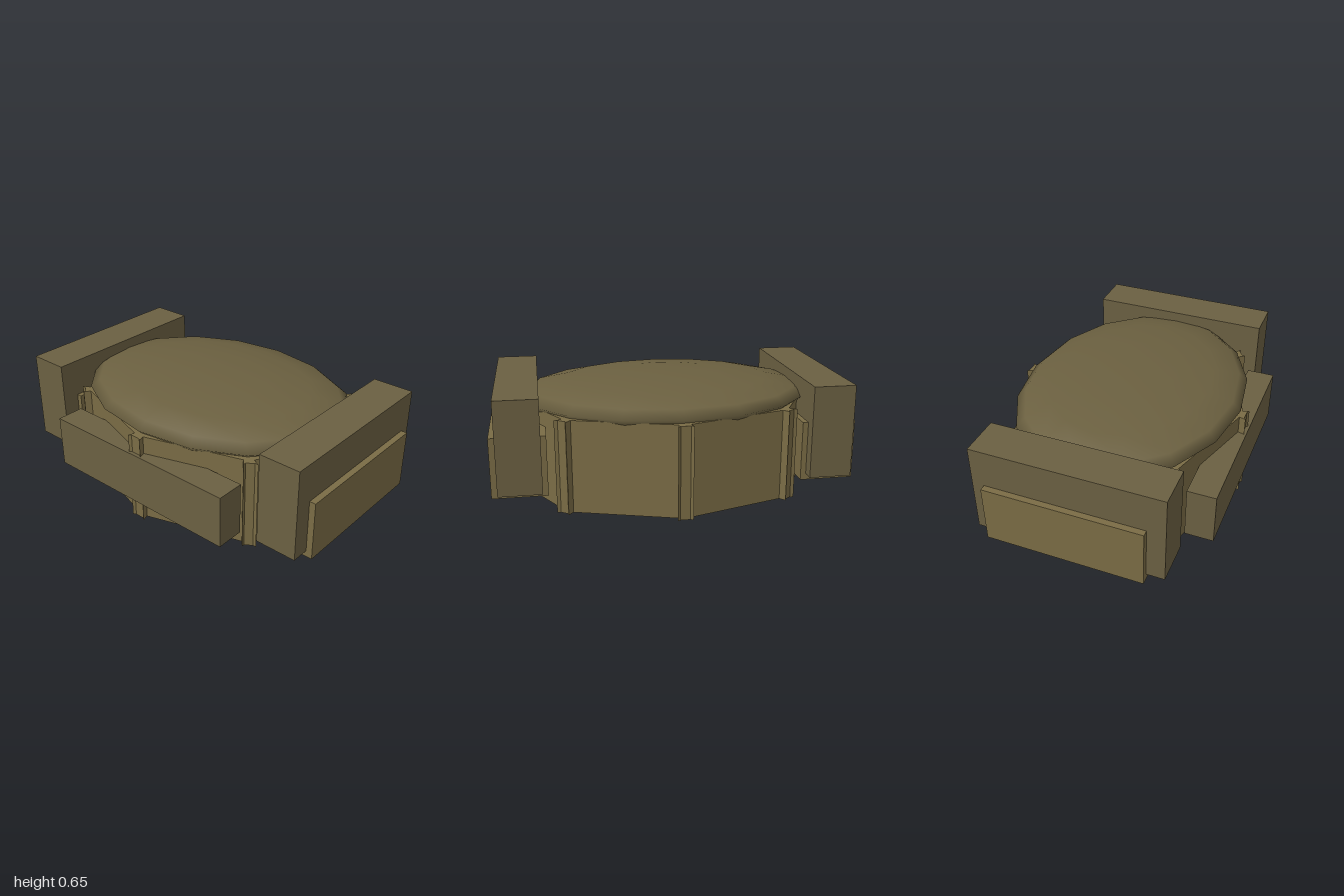
import * as THREE from 'three';

const RX = 0.89, RZ = 0.675, CZ = -0.005;

export function createModel() {
  const group = new THREE.Group();
  const light = new THREE.MeshStandardMaterial({ color: 0x7a6c45, flatShading: true });
  const dark = new THREE.MeshStandardMaterial({ color: 0x6b6042, flatShading: true });
  const smooth = new THREE.MeshStandardMaterial({ color: 0x6b6040 });

  const add = (name, geometry, material) => {
    const mesh = new THREE.Mesh(geometry, material);
    mesh.name = name;
    group.add(mesh);
    return mesh;
  };
  // Box given by its limits on each axis
  const box = (name, [x0, x1], [y0, y1], [z0, z1], material) =>
    add(name, new THREE.BoxGeometry(x1 - x0, y1 - y0, z1 - z0), material)
      .position.set((x0 + x1) / 2, (y0 + y1) / 2, (z0 + z1) / 2);

  // Octagonal ring with a grooved rib on every corner
  const rib = [[-0.035, 0.945], [-0.047, 1], [-0.03, 0.985], [0.03, 0.985], [0.047, 1], [0.035, 0.945]];
  const outline = [], opening = [];
  for (let i = 0; i < 8; i++) {
    const a = i * Math.PI / 4, c = Math.cos(a), s = Math.sin(a);
    for (const [t, r] of rib) {
      outline.push(new THREE.Vector2((r * c - t * s) * RX, (r * s + t * c) * RZ));
    }
    opening.push(new THREE.Vector2(0.67 * c * RX, 0.67 * s * RZ));
  }
  const shape = new THREE.Shape(outline);
  shape.holes.push(new THREE.Path(opening));
  const ring = new THREE.ExtrudeGeometry(shape, { depth: 0.515, bevelEnabled: false });
  ring.rotateX(-Math.PI / 2);
  add('baseRing', ring, light).position.z = CZ;

  // Flattened dome resting in the ring
  const dome = new THREE.SphereGeometry(1, 16, 8);
  dome.scale(0.836, 0.12, 0.635);
  add('dome', dome, smooth).position.set(0, 0.535, CZ);

  // Side blocks, each with a plate through it
  for (const side of [-1, 1]) {
    const label = side > 0 ? 'left' : 'right';
    const span = (a, b) => side > 0 ? [a, b] : [-b, -a];
    box(label + 'SideBlock', span(0.73, 0.965), [0.13, 0.648], [-0.515, 0.54], dark);
    box(label + 'SidePlate', span(0.7, 1), [0.095, 0.43], [-0.447, 0.44], light);
  }

  // Bar across the front
  box('frontBar', [-0.607, 0.607], [0.113, 0.412], [0.522, 0.682], dark);

  return group;
}
